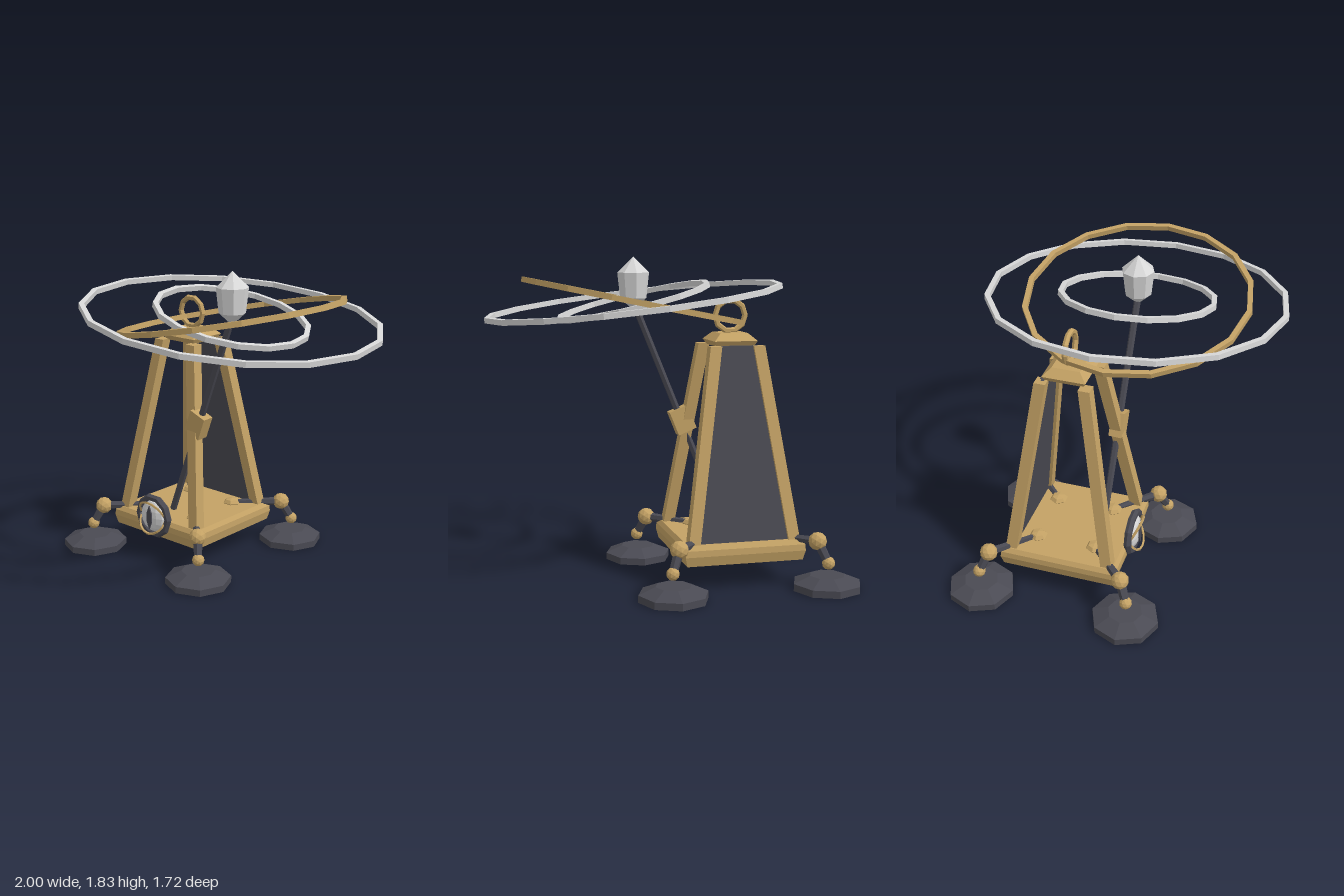
import * as THREE from 'three';

const mat = (name, color) => new THREE.MeshStandardMaterial({ name, color, flatShading: true, side: THREE.DoubleSide });
const gold = mat('gold', 0xc4a265);
const dark = mat('darkMetal', 0x4a4a53);
const silver = mat('silver', 0xd8d8d8);

const V = (x, y, z) => new THREE.Vector3(x, y, z);
const CX = -0.365, CZ = -0.225; // centre of the tower

function add(parent, name, geo, material, x = 0, y = 0, z = 0) {
  const m = new THREE.Mesh(geo, material);
  m.name = name;
  m.position.set(x, y, z);
  parent.add(m);
  return m;
}

const lathe = (pts, sides) => new THREE.LatheGeometry(pts.map(p => new THREE.Vector2(p[0], p[1])), sides);

// Square stepped block: points are [half width, height]
const squareBlock = pts => lathe(pts.map(([r, y]) => [r * Math.SQRT2, y]), 4).rotateY(Math.PI / 4);

// Straight bar between two points
function bar(parent, name, a, b, r0, r1, sides, material) {
  const d = b.clone().sub(a);
  const m = add(parent, name, new THREE.CylinderGeometry(r1, r0, d.length(), sides), material);
  m.position.copy(a).add(b).multiplyScalar(0.5);
  m.quaternion.setFromUnitVectors(V(0, 1, 0), d.normalize());
  return m;
}

// Large hoop with a square section, tilted about z
function hoop(parent, name, R, tilt, material) {
  const h = 0.015, o = R + h, i = R - h;
  const m = add(parent, name, lathe([[o, -h], [o, h], [i, h], [i, -h], [o, -h]], 16), material, 0.145, 1.573, 0);
  m.rotation.z = tilt;
}

function tower(root) {
  const g = new THREE.Group();
  g.name = 'tower';
  g.position.set(CX, 0, CZ);
  root.add(g);

  add(g, 'base', squareBlock([[0, 0.145], [0.335, 0.145], [0.348, 0.2], [0.345, 0.235], [0.328, 0.26], [0, 0.26]]), gold);
  add(g, 'cap', squareBlock([[0, 1.33], [0.108, 1.33], [0.125, 1.36], [0.08, 1.402], [0, 1.402]]), gold);
  add(g, 'topRing', new THREE.TorusGeometry(0.088, 0.017, 6, 10), gold, 0, 1.497, 0);

  // Leaning corner posts, cut level at both ends
  const y0 = 0.25, y1 = 1.335, lean = (0.29 - 0.125) / (y1 - y0);
  for (const sx of [-1, 1]) for (const sz of [-1, 1]) {
    const geo = new THREE.BoxGeometry(0.066, y1 - y0, 0.066);
    geo.applyMatrix4(new THREE.Matrix4().set(
      1, -sx * lean, 0, 0,
      0, 1, 0, 0,
      0, -sz * lean, 1, 0,
      0, 0, 0, 1));
    add(g, 'cornerPost', geo, gold, sx * 0.2075, (y0 + y1) / 2, sz * 0.2075);
  }

  // Tapered panel between the back posts
  const panel = new THREE.BoxGeometry(2, y1 - y0, 0.03);
  const p = panel.attributes.position;
  for (let i = 0; i < p.count; i++) {
    const off = p.getY(i) < 0 ? 0.29 : 0.125;
    p.setX(i, p.getX(i) * off);
    p.setZ(i, p.getZ(i) - off);
  }
  add(g, 'backPanel', panel, dark, 0, (y0 + y1) / 2, 0);

  // Jointed legs and feet
  for (const sx of [-1, 1]) for (const sz of [-1, 1]) {
    const leg = new THREE.Group();
    leg.name = 'leg';
    g.add(leg);
    const at = (o, y) => V(sx * o, y, sz * o);
    const hip = at(0.175, 0.265), knee = at(0.397, 0.263), ankle = at(0.445, 0.147);
    const mount = add(leg, 'hipMount', new THREE.SphereGeometry(0.055, 6, 4), gold, ...hip);
    mount.scale.y = 0.5;
    bar(leg, 'arm', hip, knee, 0.016, 0.027, 6, dark);
    add(leg, 'kneeBall', new THREE.IcosahedronGeometry(0.052, 1), gold, ...knee);
    bar(leg, 'shin', knee, ankle, 0.03, 0.024, 6, dark);
    add(leg, 'ankleBall', new THREE.IcosahedronGeometry(0.037, 1), gold, ...ankle);
    add(leg, 'foot', lathe([[0, 0], [0.195, 0], [0.195, 0.04], [0.1, 0.08], [0, 0.08]], 8), dark, sx * 0.44, 0, sz * 0.44);
  }
}

function pendulum(root) {
  const g = new THREE.Group();
  g.name = 'pendulum';
  root.add(g);
  const low = V(-0.375, 0.275, -0.055), high = V(0.145, 1.57, 0);
  const rod = bar(g, 'rod', low, high, 0.02, 0.02, 6, dark);
  const weight = add(g, 'slidingWeight', new THREE.BoxGeometry(0.115, 0.145, 0.075), gold, -0.137, 0.88, -0.027);
  weight.quaternion.copy(rod.quaternion);
  add(g, 'bob', lathe([[0, 1.52], [0.077, 1.59], [0.093, 1.735], [0, 1.825]], 8), silver, 0.145, 0, 0);
  hoop(g, 'outerHoop', 0.84, -0.117, silver);
  hoop(g, 'middleHoop', 0.637, 0.2, gold);
  hoop(g, 'innerHoop', 0.435, -0.235, silver);
}

function eye(root) {
  const g = new THREE.Group();
  g.name = 'eye';
  g.position.set(CX, 0.282, 0.13);
  root.add(g);
  add(g, 'eyeRim', new THREE.TorusGeometry(0.118, 0.023, 6, 10), dark);
  const ball = add(g, 'eyeball', new THREE.SphereGeometry(0.1, 12, 8), silver);
  ball.scale.z = 0.4;

  // Slit pupil
  const s = new THREE.Shape([[0, -0.075], [0.02, -0.025], [0.02, 0.025], [0, 0.075], [-0.02, 0.025], [-0.02, -0.025]]
    .map(q => new THREE.Vector2(q[0], q[1])));
  add(g, 'pupil', new THREE.ExtrudeGeometry(s, { depth: 0.009, bevelEnabled: false }), dark, 0, 0, 0.036);

  // Lids lean forward above and below
  for (const side of [1, -1]) {
    const lid = add(g, side > 0 ? 'upperLid' : 'lowerLid', new THREE.TorusGeometry(0.1, 0.008, 4, 8, Math.PI), gold, 0, side * 0.012, 0.008);
    lid.rotation.set(side * 0.5, 0, side > 0 ? 0 : Math.PI);
  }
}

export function createModel() {
  const root = new THREE.Group();
  root.name = 'pendulumTower';
  tower(root);
  pendulum(root);
  eye(root);
  return root;
}
